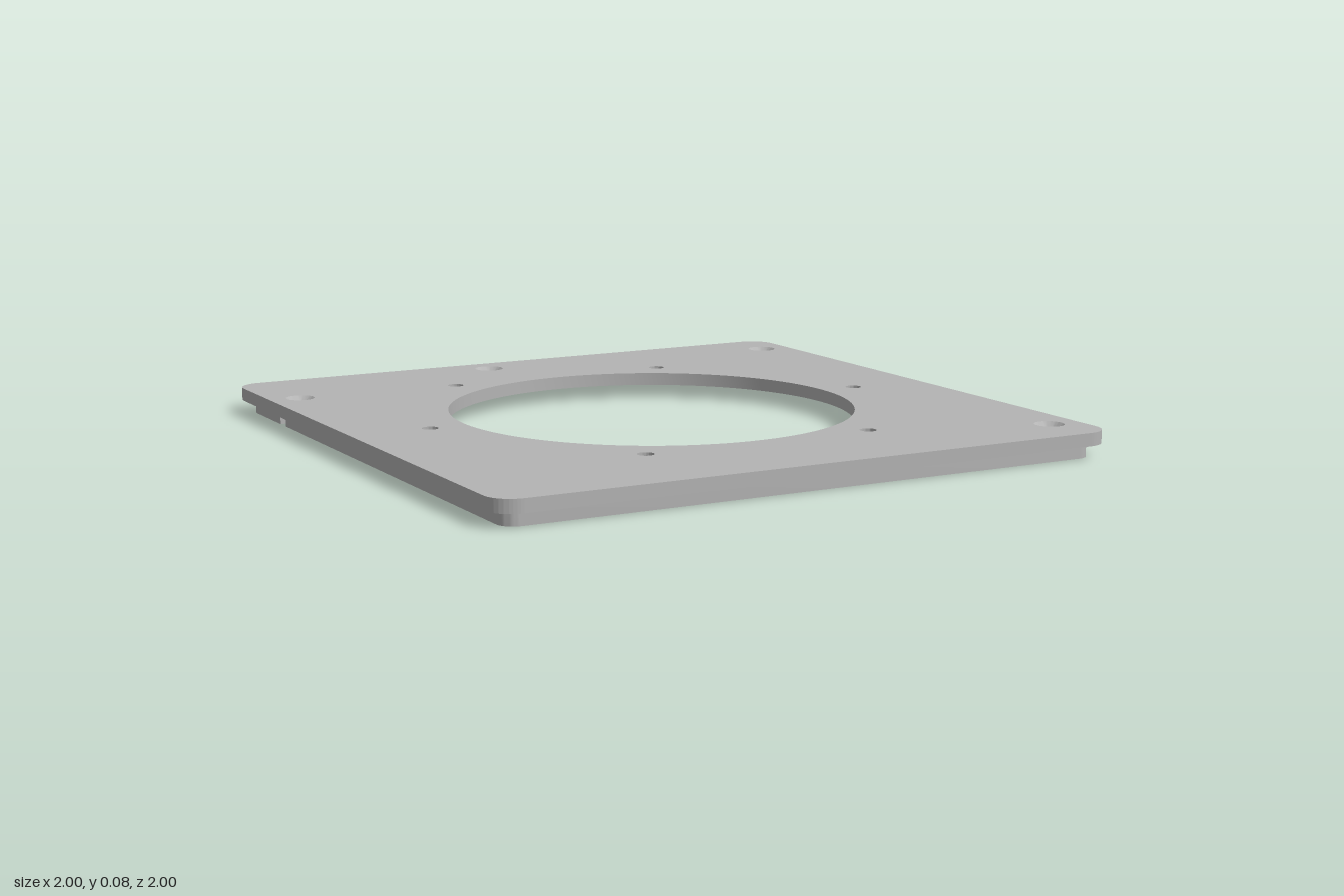
import * as THREE from 'three';
import { toCreasedNormals } from 'three/addons/utils/BufferGeometryUtils.js';

const TOP = 0.083, BASE = 0.043;     // upper and lower face of the plate
const SEGMENTS = 64;
const SCREWS = [[0.9, -0.825], [0.9, 0.825], [-0.9, -0.67], [-0.135, -0.9]];
const SCREW_R = 0.046, BORE_R = 0.024;

// Extrude a shape drawn in (x, z) downwards from height "top"
function slab(shape, top, depth) {
  const g = new THREE.ExtrudeGeometry(shape, { depth, bevelEnabled: false, curveSegments: SEGMENTS });
  g.rotateX(Math.PI / 2).translate(0, top, 0);
  return toCreasedNormals(g, 0.6);
}

function circle(x, z, r) {
  return new THREE.Path().absarc(x, z, r, 0, Math.PI * 2, true);
}

// Square with rounded corners, large opening, bolt circle and screw holes
function plateGeometry() {
  const c = 0.92, r = 0.08, shape = new THREE.Shape();
  [[c, c], [-c, c], [-c, -c], [c, -c]].forEach(([x, z], i) =>
    shape.absarc(x, z, r, i * Math.PI / 2, (i + 1) * Math.PI / 2, false));
  shape.closePath();
  shape.holes.push(circle(0, 0, 0.628));
  for (let i = 0; i < 6; i++) {
    const a = i * Math.PI / 3;
    shape.holes.push(circle(0.746 * Math.cos(a), 0.746 * Math.sin(a), 0.025));
  }
  SCREWS.forEach(([x, z]) => shape.holes.push(circle(x, z, SCREW_R)));
  return slab(shape, TOP, TOP - BASE);
}

// Conical seat narrowing to a straight bore, flush with both plate faces
function countersinkGeometry() {
  const profile = [[SCREW_R, TOP], [BORE_R, TOP - 0.022], [BORE_R, BASE], [SCREW_R, BASE]];
  const g = new THREE.LatheGeometry(profile.map(p => new THREE.Vector2(...p)), SEGMENTS);
  return toCreasedNormals(g, 0.6);
}

// Point on a side of a square of half size h; side 0 is +x, 1 is +z, and so on
function sidePoint(side, h, s) {
  return new THREE.Vector2(h, s).rotateAround(new THREE.Vector2(), side * Math.PI / 2);
}

// Lip section running from one point on the perimeter, round any corners, to another
function lipGeometry([sideA, a], [sideB, b]) {
  const c = 0.91;
  const trace = r => {
    const pts = [sidePoint(sideA, c + r, a)];
    for (let k = sideA; k < sideB; k++) {
      const centre = sidePoint(k, c, c);
      for (let i = 0; i <= 12; i++) {
        const t = (k + i / 12) * Math.PI / 2;
        pts.push(new THREE.Vector2(centre.x + r * Math.cos(t), centre.y + r * Math.sin(t)));
      }
    }
    pts.push(sidePoint(sideB, c + r, b));
    return pts;
  };
  return slab(new THREE.Shape([...trace(0.05), ...trace(0.03).reverse()]), BASE, BASE);
}

export function createModel() {
  const model = new THREE.Group();
  model.name = 'mountingPlate';
  const metal = new THREE.MeshStandardMaterial({ color: 0xb4b4b4 });
  metal.name = 'grey metal';

  const add = (name, geometry, x = 0, z = 0) => {
    const mesh = new THREE.Mesh(geometry, metal);
    mesh.name = name;
    mesh.position.set(x, 0, z);
    model.add(mesh);
  };

  add('plate', plateGeometry());

  const seat = countersinkGeometry();
  SCREWS.forEach(([x, z], i) => add(`countersink${i + 1}`, seat, x, z));

  // Underside lip, interrupted by a slot beside each screw
  const slots = [[0, -0.825], [0, 0.825], [2, 0.67], [3, -0.135], [4, -0.825]];
  const half = 0.023;
  for (let i = 0; i < 4; i++) {
    const [sa, a] = slots[i], [sb, b] = slots[i + 1];
    add(`lip${i + 1}`, lipGeometry([sa, a + half], [sb, b - half]));
  }
  return model;
}
